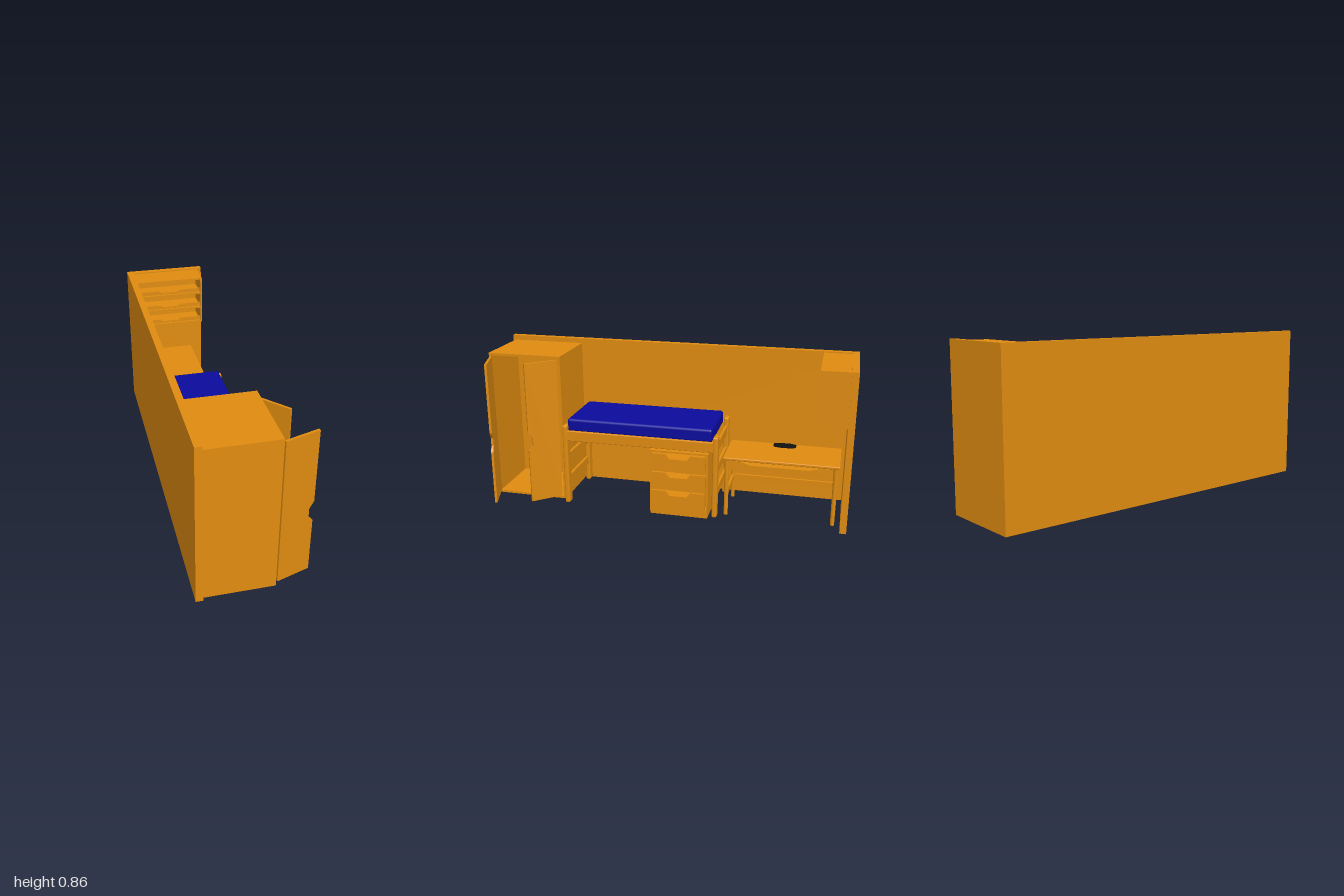
import * as THREE from 'three';
import { RoundedBoxGeometry } from 'three/addons/geometries/RoundedBoxGeometry.js';

const wood = new THREE.MeshStandardMaterial({ color: 0xe08c10 });
const blue = new THREE.MeshStandardMaterial({ color: 0x0a0a9c });
const black = new THREE.MeshStandardMaterial({ color: 0x111111 });

function add(parent, name, geometry, material = wood) {
  const mesh = new THREE.Mesh(geometry, material);
  mesh.name = name;
  parent.add(mesh);
  return mesh;
}

// Box given by its limits on each axis, optionally with rounded edges
function box(parent, name, [x0, x1], [y0, y1], [z0, z1], radius = 0, material = wood) {
  const size = [x1 - x0, y1 - y0, z1 - z0];
  const geometry = radius ? new RoundedBoxGeometry(...size, 3, radius) : new THREE.BoxGeometry(...size);
  const mesh = add(parent, name, geometry, material);
  mesh.position.set((x0 + x1) / 2, (y0 + y1) / 2, (z0 + z1) / 2);
  return mesh;
}

function extrude(points, depth) {
  const shape = new THREE.Shape(points.map(p => new THREE.Vector2(...p)));
  return new THREE.ExtrudeGeometry(shape, { depth, bevelEnabled: false });
}

// Drawer front with a finger cut-out in the middle of its top edge
function drawerFront(w, h, depth, cutW, cutD) {
  const a = w / 2, c = cutW / 2;
  return extrude([[-a, 0], [a, 0], [a, h], [c, h], [c * 0.7, h - cutD],
    [-c * 0.7, h - cutD], [-c, h], [-a, h]], depth);
}

function group(root, name) {
  const g = new THREE.Group();
  g.name = name;
  root.add(g);
  return g;
}

function buildWardrobe(root) {
  const g = group(root, 'wardrobe');
  const X = [-0.25, 0.105], Y = [0.003, 0.835], Z = [0.57, 0.985], t = 0.013;
  box(g, 'wardrobeBack', [X[0], X[0] + t], Y, Z);
  box(g, 'wardrobeTop', X, [Y[1] - t, Y[1]], Z);
  box(g, 'wardrobeBottom', X, [Y[0], Y[0] + t], Z);
  box(g, 'wardrobeSide', X, Y, [Z[0], Z[0] + t]);
  box(g, 'wardrobeSide', X, Y, [Z[1] - t, Z[1]]);
  // Open doors with a grip notch in the free edge
  const L = 0.18;
  const profile = [[0, 0.02], [L, 0.02], [L, 0.32], [L - 0.025, 0.35],
    [L - 0.025, 0.395], [L, 0.43], [L, 0.815], [0, 0.815]];
  for (const [x, z, dx, dz] of [[0.105, 0.59, 0.115, 0.13], [0.111, 0.965, 0.175, -0.055]]) {
    const door = add(g, 'wardrobeDoor', extrude(profile, 0.013));
    door.position.set(x, 0, z);
    door.rotation.y = -Math.atan2(dz, dx);
  }
}

function buildBed(root) {
  const g = group(root, 'bed');
  for (const z of [0.543, -0.298]) {
    for (const x of [-0.225, 0.125])
      box(g, 'bedPost', [x - 0.026, x + 0.026], [0, 0.46], [z - 0.014, z + 0.014], 0.009);
    for (const y of [0.13, 0.26, 0.39])
      box(g, 'bedEndRail', [-0.205, 0.105], [y - 0.024, y + 0.024], [z - 0.007, z + 0.007]);
  }
  for (const x of [-0.24, 0.138])
    box(g, 'bedSideRail', [x - 0.009, x + 0.009], [0.372, 0.43], [-0.29, 0.537], 0.004);
  box(g, 'mattress', [-0.228, 0.128], [0.42, 0.495], [-0.277, 0.533], 0.015, blue);
}

function buildDrawerUnit(root) {
  const g = group(root, 'drawerUnit');
  const X = [-0.165, 0.168], Z = [-0.265, 0.053], t = 0.01;
  for (const z of [Z[0], Z[1] - t]) box(g, 'unitSide', X, [0, 0.37], [z, z + t]);
  box(g, 'unitTop', X, [0.36, 0.37], Z);
  box(g, 'unitBack', [X[0], X[0] + t], [0, 0.37], Z);
  box(g, 'unitBottom', X, [0.034, 0.042], Z);
  box(g, 'unitPlinth', [0.155, 0.168], [0, 0.036], Z);
  const mid = (Z[0] + Z[1]) / 2;
  for (const y of [0.046, 0.152, 0.258]) {
    const front = add(g, 'drawerFront', drawerFront(0.294, 0.1, 0.018, 0.14, 0.026));
    front.position.set(0.166, y, mid);
    front.rotation.y = Math.PI / 2;
    // Drawer tray behind the front
    box(g, 'drawerBottom', [-0.14, 0.166], [y + 0.006, y + 0.012], [mid - 0.14, mid + 0.14]);
    box(g, 'drawerBack', [-0.145, -0.137], [y + 0.006, y + 0.07], [mid - 0.14, mid + 0.14]);
    for (const s of [-1, 1])
      box(g, 'drawerSide', [-0.14, 0.166], [y + 0.006, y + 0.07], [mid + s * 0.137 - 0.004, mid + s * 0.137 + 0.004]);
  }
}

function buildDesk(root) {
  const g = group(root, 'desk');
  box(g, 'deskTop', [-0.185, 0.105], [0.322, 0.338], [-0.945, -0.332], 0.005);
  for (const z of [-0.925, -0.353]) {
    for (const x of [-0.165, 0.085])
      add(g, 'deskLeg', new THREE.CylinderGeometry(0.013, 0.011, 0.324, 16)).position.set(x, 0.162, z);
    box(g, 'deskSideRail', [-0.165, 0.085], [0.27, 0.322], [z - 0.006, z + 0.006]);
    box(g, 'deskFootRail', [-0.165, 0.085], [0.11, 0.14], [z - 0.006, z + 0.006]);
  }
  box(g, 'deskBackPanel', [-0.172, -0.16], [0.19, 0.322], [-0.925, -0.353]);
  box(g, 'deskBackRail', [-0.172, -0.158], [0.11, 0.14], [-0.925, -0.353]);
  // Wide shallow drawer, narrower at the middle of its front
  const front = add(g, 'deskDrawerFront', drawerFront(0.545, 0.05, 0.014, 0.44, 0.018));
  front.position.set(0.08, 0.268, -0.639);
  front.rotation.y = Math.PI / 2;
  box(g, 'deskDrawerTray', [-0.15, 0.08], [0.272, 0.28], [-0.9, -0.378]);
  // Eight-sided dark pad on the desk top
  const pad = add(g, 'deskPad', extrude([[-0.018, -0.062], [0.018, -0.062], [0.031, -0.03], [0.031, 0.03],
    [0.018, 0.062], [-0.018, 0.062], [-0.031, 0.03], [-0.031, -0.03]], 0.006), black);
  pad.rotation.x = -Math.PI / 2;
  pad.position.set(-0.145, 0.339, -0.638);
}

function buildWallCabinet(root) {
  const g = group(root, 'wallCabinet');
  const X = [-0.25, 0.152], Y = [0.562, 0.855], Z = [-0.965, -0.813], t = 0.01;
  for (const x of [X[0], X[1] - t]) box(g, 'cabinetSide', [x, x + t], Y, Z);
  box(g, 'cabinetBack', X, Y, [Z[0], Z[0] + t]);
  box(g, 'cabinetTop', X, [Y[1] - t, Y[1]], Z);
  for (let i = 0; i < 3; i++) {
    const y = Y[0] + i * 0.095;
    box(g, 'cabinetShelf', X, [y, y + t], Z);
    // Low notched lip along each shelf
    const lip = add(g, 'shelfLip', drawerFront(0.38, 0.024, 0.008, 0.14, 0.012));
    lip.position.set(-0.049, y + t, Z[1] - 0.02);
  }
}

export function createModel() {
  const root = new THREE.Group();
  root.name = 'bedroomFurniture';
  box(root, 'backWall', [-0.286, -0.25], [0, 0.862], [-1, 1]);
  box(root, 'endWall', [-0.25, 0.179], [0, 0.862], [-1, -0.965]);
  buildWardrobe(root);
  buildBed(root);
  buildDrawerUnit(root);
  buildDesk(root);
  buildWallCabinet(root);
  return root;
}
